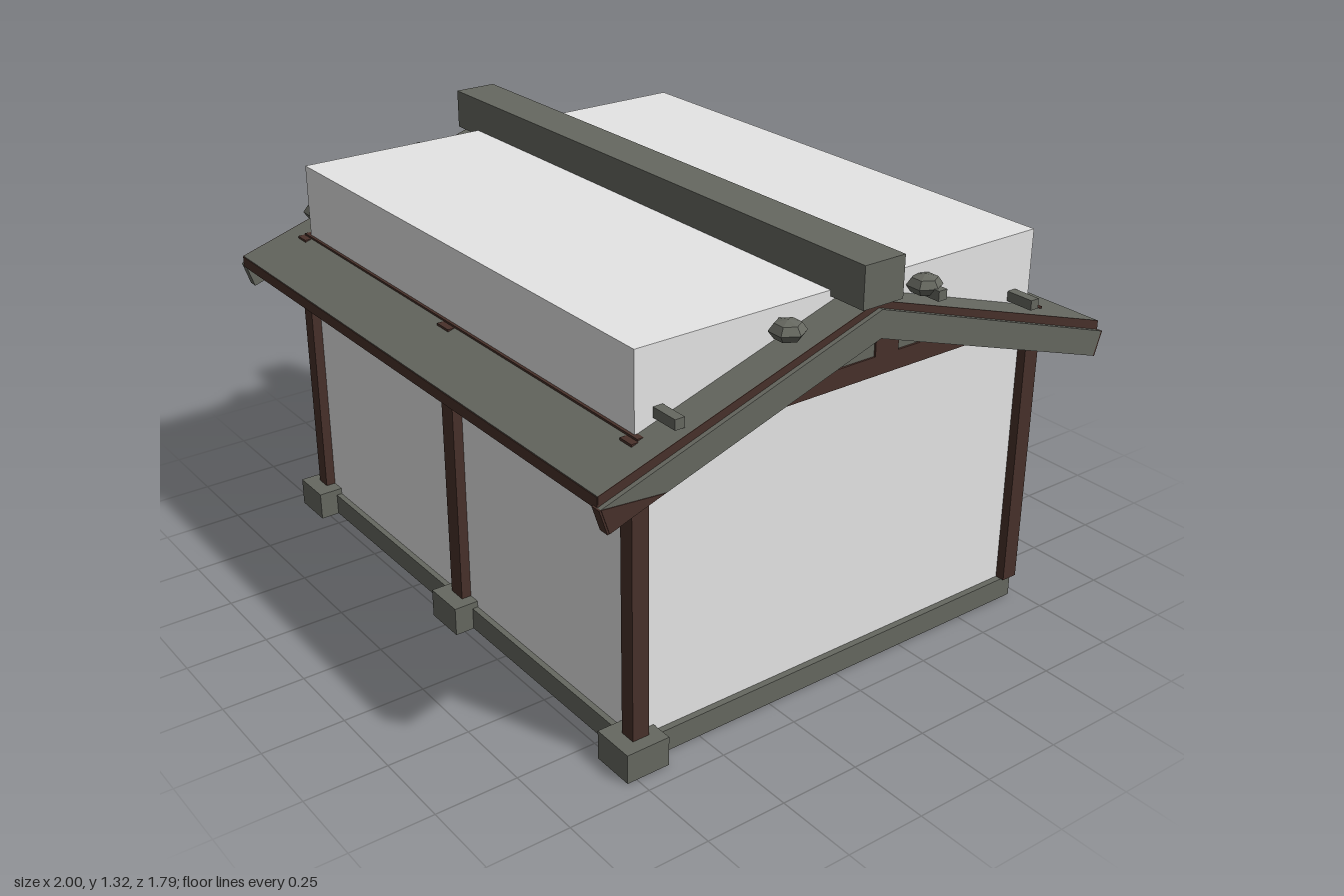
import * as THREE from 'three';

const paint = (name, color) => {
  const m = new THREE.MeshStandardMaterial({ color });
  m.name = name;
  return m;
};

export function createModel() {
  const model = new THREE.Group();
  model.name = 'timberHouse';
  const stone = paint('stoneGrey', 0x666860);
  const wood = paint('darkWood', 0x48312a);
  const plaster = paint('palePlaster', 0xe6e6e6);

  const add = (name, geometry, material) => {
    const mesh = new THREE.Mesh(geometry, material);
    mesh.name = name;
    model.add(mesh);
    return mesh;
  };
  // Box given by its limits on each axis
  const box = (name, mat, x0, x1, y0, y1, z0, z1) =>
    add(name, new THREE.BoxGeometry(x1 - x0, y1 - y0, z1 - z0), mat)
      .position.set((x0 + x1) / 2, (y0 + y1) / 2, (z0 + z1) / 2);
  // Gable profile of (z, y) points, extruded along x from x0 to x1
  const profile = (name, mat, points, x0, x1) => {
    const shape = new THREE.Shape(points.map(([z, y]) => new THREE.Vector2(-z, y)));
    const g = new THREE.ExtrudeGeometry(shape, { depth: x1 - x0, bevelEnabled: false });
    g.rotateY(Math.PI / 2).translate(x0, 0, 0);
    return add(name, g, mat);
  };
  // Half profile mirrored into a full symmetrical chevron
  const chevron = (outer, inner) => [
    ...outer, ...inner.slice().reverse(),
    ...inner.slice(1).map(([z, y]) => [-z, y]),
    ...outer.slice(1).reverse().map(([z, y]) => [-z, y]),
  ];

  // Main body, whose floor shows inside the foundation rim
  box('body', plaster, -0.875, 0.875, 0, 1.21, -0.702, 0.702);
  box('foundation', stone, -0.895, 0.895, 0.001, 0.07, -0.72, 0.72);
  // Stone infill and stud in one bay of the back wall
  box('backInfill', stone, 0.03, 0.855, 0.07, 0.75, -0.704, -0.7);
  box('backStud', wood, 0.61, 0.69, 0.07, 0.48, -0.706, -0.7);

  // Posts, with footing stones along the front
  for (const x of [-0.88, 0, 0.88]) {
    const w = x === 0 ? 0.03 : 0.025;
    box('frontPost', wood, x - w, x + w, 0.09, 0.974, 0.68, 0.733);
    box('backPost', wood, x - w, x + w, 0.07, 0.974, -0.733, -0.68);
    const f = x * 0.997;
    box('footing', stone, f - 0.068, f + 0.068, 0, 0.09, 0.643, 0.78);
  }
  box('frontPlate', wood, -0.9, 0.9, 0.86, 0.98, 0.68, 0.711);

  // Roof slab and ridge
  const roof = chevron([[0, 1.2], [0.89, 0.917]], [[0, 1.167], [0.89, 0.884]]);
  profile('roof', stone, roof, -0.984, 0.984);
  box('ridge', stone, -1, 1, 1.193, 1.317, -0.07, 0.07);

  for (const s of [-1, 1]) {
    const side = (a, b) => (s > 0 ? [a, b] : [-b, -a]);
    // Gable wall, tie beam and rake
    profile('gableWall', stone, [[-0.68, 0.93], [0.68, 0.93], [0, 1.17]], ...side(0.874, 0.88));
    box('tieBeam', wood, ...side(0.87, 0.886), 0.92, 0.978, -0.69, 0.69);
    profile('rakeTrim', wood, roof, ...side(0.984, 0.986));
    profile('bargeboard', stone,
      chevron([[0, 1.18], [0.892, 0.888]], [[0, 1.098], [0.868, 0.815]]), ...side(0.968, 1));
    for (const f of [-1, 1]) {
      // Board end caps; the right front end is left as stone
      if (s < 0 && f > 0) continue;
      const cap = profile('bargeboardEnd', wood,
        [[0.892, 0.888], [0.897, 0.887], [0.873, 0.813], [0.868, 0.815]], ...side(0.968, 1));
      if (f < 0) {
        cap.rotation.y = Math.PI;
        cap.geometry.translate(-s * 1.968, 0, 0);
      }
    }
    box('eaveTrim', wood, -0.985, 0.985, 0.882, 0.915, ...(s > 0 ? [0.89, 0.892] : [-0.892, -0.89]));
  }
  // Bare timber on the left board's front end, and the strut above the tie beam
  profile('bareBoardEnd', wood, [[0.892, 0.888], [0.7, 0.872], [0.868, 0.815]], 0.998, 1.002);
  box('gableStrut', wood, 0.87, 0.886, 0.978, 1.06, -0.18, -0.095);

  // Roof weight stones
  const weight = new THREE.SphereGeometry(0.052, 6, 4).toNonIndexed();
  weight.scale(1, 0.58, 1);
  weight.computeVertexNormals();
  const spots = [[-0.93, -0.64], [-0.93, -0.25], [-0.93, 0.25], [-0.93, 0.64], [0.917, 0.25], [0.9, -0.25]];
  for (const [x, z] of spots) {
    add('roofStone', weight, stone).position.set(x, Math.abs(z) < 0.4 ? 1.158 : 1.03, z);
  }
  // Slim stone pegs on the left edge
  for (const [z, y] of [[-0.63, 1.025], [0.63, 1.025], [-0.255, 1.145]]) {
    box('roofPeg', stone, 0.87, 0.965, y - 0.015, y + 0.015, z - 0.015, z + 0.015);
  }
  return model;
}
